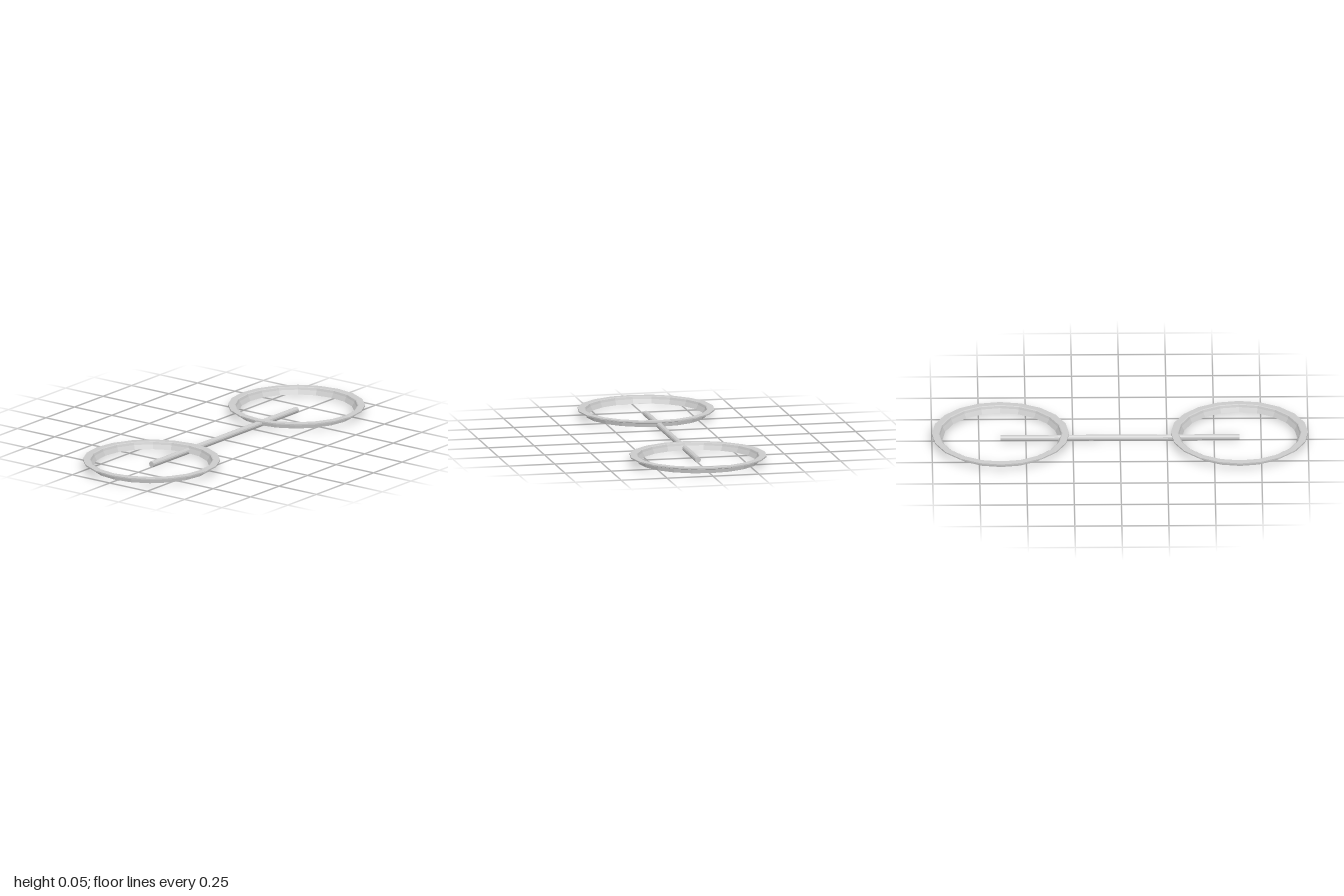
import * as THREE from 'three';

const RING_Z = 0.635;

export function createModel() {
  const model = new THREE.Group();
  const material = new THREE.MeshStandardMaterial({
    color: 0xcccccc, flatShading: true, side: THREE.DoubleSide,
  });

  // Closed rim section: radius, height (outer wall, flange, inner step and slope)
  const profile = [
    [0.308, 0.008], [0.322, 0.008], [0.326, 0.028], [0.333, 0.034], [0.347, 0.036],
    [0.365, 0.038], [0.365, 0.045], [0.33, 0.046], [0.325, 0.043], [0.321, 0.031],
    [0.308, 0.008],
  ].map(([r, y]) => new THREE.Vector2(r, y));
  const rimGeometry = new THREE.LatheGeometry(profile, 20);

  // One flanged rim at each end
  for (const [name, side] of [['frontRim', 1], ['backRim', -1]]) {
    const rim = new THREE.Mesh(rimGeometry, material);
    rim.name = name;
    rim.position.z = side * RING_Z;
    model.add(rim);
  }

  // Connecting rod running between the rim centres
  const rodGeometry = new THREE.CylinderGeometry(0.016, 0.016, RING_Z * 2, 12);
  rodGeometry.rotateX(Math.PI / 2);
  const rod = new THREE.Mesh(rodGeometry, material);
  rod.name = 'connectingRod';
  rod.position.y = 0.016;
  model.add(rod);

  return model;
}
